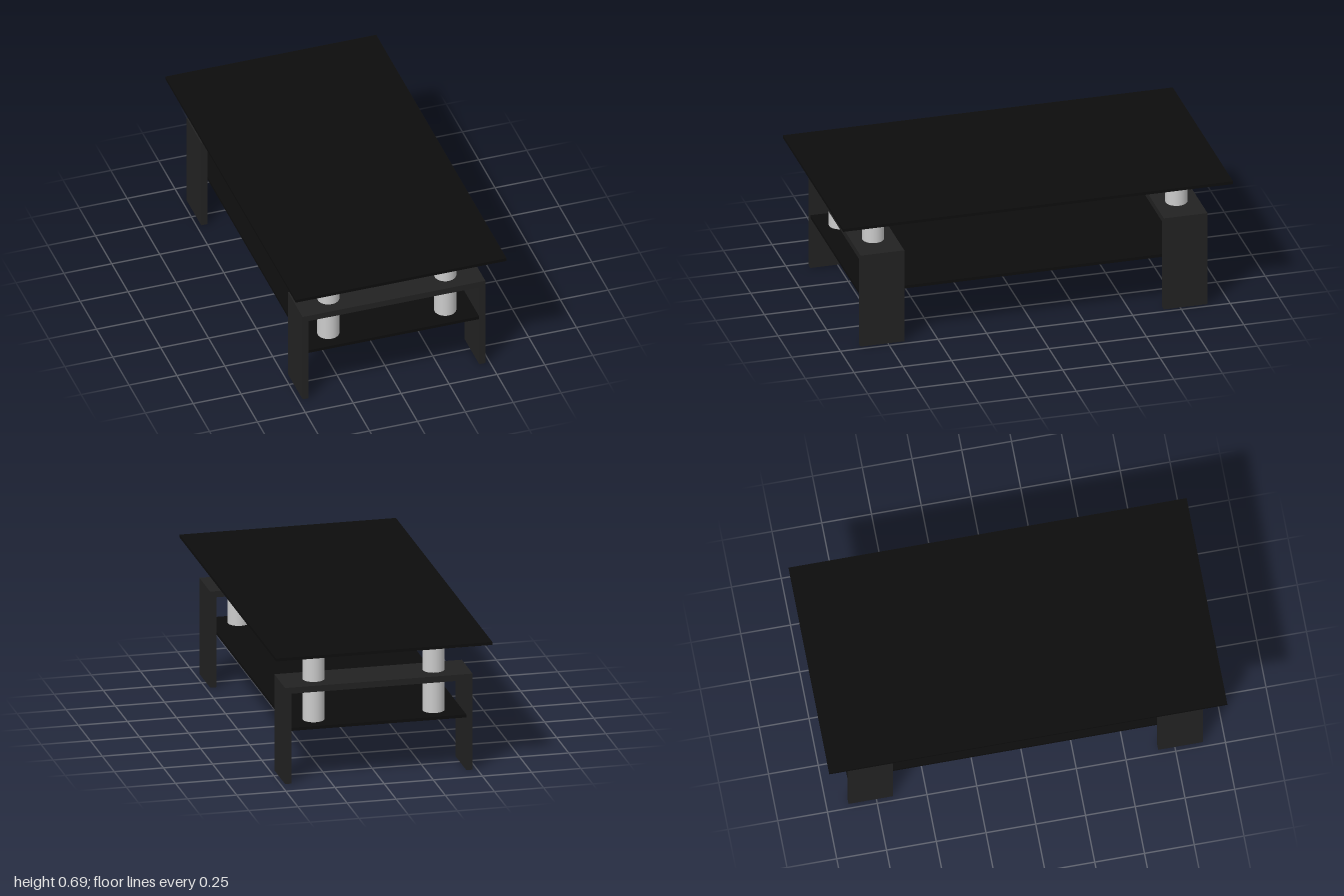
import * as THREE from 'three';

const glass = new THREE.MeshStandardMaterial({ color: 0x0d0d0d });
const wood = new THREE.MeshStandardMaterial({ color: 0x222222 });
const metal = new THREE.MeshStandardMaterial({ color: 0xcccccc });

// Flat slab resting at height y
function slab(name, width, height, depth, y) {
  const mesh = new THREE.Mesh(new THREE.BoxGeometry(width, height, depth), glass);
  mesh.name = name;
  mesh.position.y = y + height / 2;
  return mesh;
}

// Upside-down U frame: two broad legs joined by a crossbar
function legFrameGeometry() {
  const outer = 0.477, inner = 0.445, top = 0.5, under = 0.468, depth = 0.224;
  const shape = new THREE.Shape([
    [-outer, 0], [-inner, 0], [-inner, under], [inner, under],
    [inner, 0], [outer, 0], [outer, top], [-outer, top],
  ].map(([x, y]) => new THREE.Vector2(x, y)));
  return new THREE.ExtrudeGeometry(shape, { depth, bevelEnabled: false })
    .translate(0, 0, -depth / 2);
}

export function createModel() {
  const table = new THREE.Group();
  table.name = 'coffeeTable';

  table.add(slab('tableTop', 1.1, 0.016, 2, 0.679));
  table.add(slab('lowerShelf', 0.89, 0.016, 1.778, 0.274));

  // A frame at each end, with two posts rising from the shelf to the top
  const frameGeometry = legFrameGeometry();
  const postGeometry = new THREE.CylinderGeometry(0.055, 0.055, 0.389, 32);
  for (const end of [1, -1]) {
    const frame = new THREE.Mesh(frameGeometry, wood);
    frame.name = end > 0 ? 'frontLegFrame' : 'backLegFrame';
    frame.position.z = end * 0.778;
    table.add(frame);

    for (const side of [1, -1]) {
      const post = new THREE.Mesh(postGeometry, metal);
      post.name = (end > 0 ? 'front' : 'back') + (side > 0 ? 'Left' : 'Right') + 'Post';
      post.position.set(side * 0.305, 0.4845, end * 0.778);
      table.add(post);
    }
  }
  return table;
}
